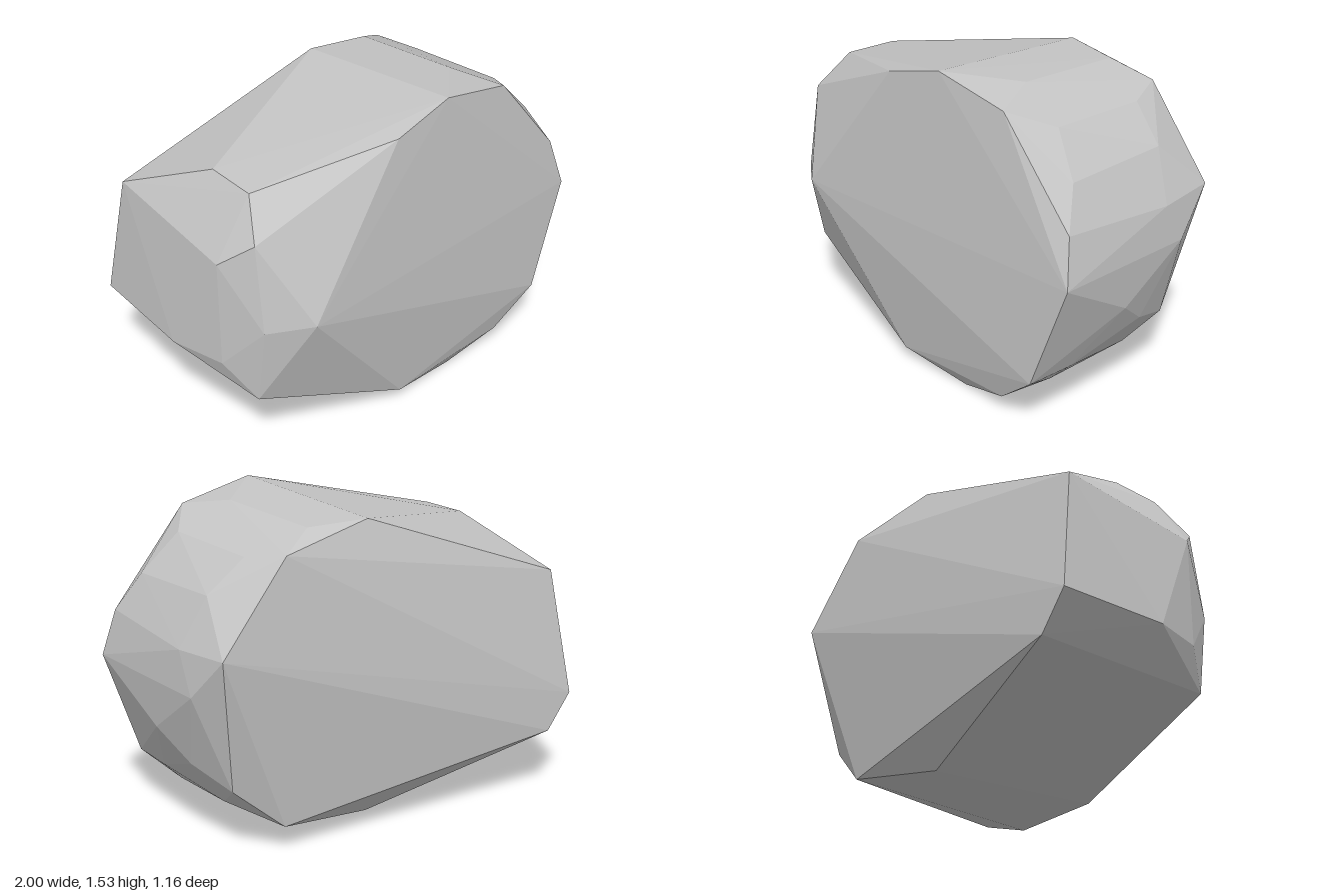
import * as THREE from 'three';
import { ConvexGeometry } from 'three/addons/geometries/ConvexGeometry.js';

const toPoints = (rows) => rows.map(([x, y, z]) => new THREE.Vector3(x, y, z));

// Broad front face: a low peak near its right end and the rim around it
const frontRim = [
  [-0.65, 0.77, 0.58], [-0.84, 0.36, 0.4], [-0.84, 0.75, 0.46], [-0.83, 1.16, 0.4],
  [-0.12, 1.45, 0.48], [0.19, 1.53, 0.45], [0.57, 1.45, 0.41], [1, 0.79, 0.43],
  [0.81, 0.27, 0.46], [0.59, 0.09, 0.43], [-0.07, 0.06, 0.47],
];

// Back face rim
const backRim = [
  [-0.98, 0.5, -0.585], [-0.85, 0.33, -0.585], [-0.92, 1.1, -0.48], [0.11, 1.47, -0.41],
  [0.57, 1.38, -0.47], [0.9, 0.98, -0.49], [0.56, 0.13, -0.42], [0.07, 0.06, -0.35],
];

// Blunt, chipped end
const bluntEnd = [
  [-0.75, 1.32, 0], [-0.75, 1.32, 0.26], [-0.93, 1.04, 0.26],
  [-0.93, 0.52, 0.26], [-1, 0.51, -0.02],
];

// Rounded end, from the top down to the underside
const roundedEnd = [
  [0.45, 1.49, 0.18], [0.4, 1.46, -0.37], [0.7, 1.37, 0.22], [0.66, 1.35, -0.28],
  [0.86, 1.19, 0.28], [0.83, 1.2, -0.25], [0.95, 1.01, 0.38], [0.945, 0.97, -0.2],
  [0.95, 0.78, -0.3], [0.945, 0.55, 0.03], [0.87, 0.41, -0.14], [0.79, 0.33, -0.36],
  [0.81, 0.27, 0.23], [0.71, 0.17, 0.25], [0.73, 0.21, -0.18],
  [0.3, 0, 0.4], [0.2, 0.01, 0.15],
];

export function createModel() {
  const stone = new THREE.MeshStandardMaterial({ color: 0xc4c4c4, flatShading: true });
  stone.name = 'stone grey';

  // Faceted boulder wrapped tightly around its corner points
  const corners = toPoints([...frontRim, ...backRim, ...bluntEnd, ...roundedEnd]);
  const boulder = new THREE.Mesh(new ConvexGeometry(corners), stone);
  boulder.name = 'boulder';

  const group = new THREE.Group();
  group.name = 'rock';
  group.add(boulder);
  return group;
}
